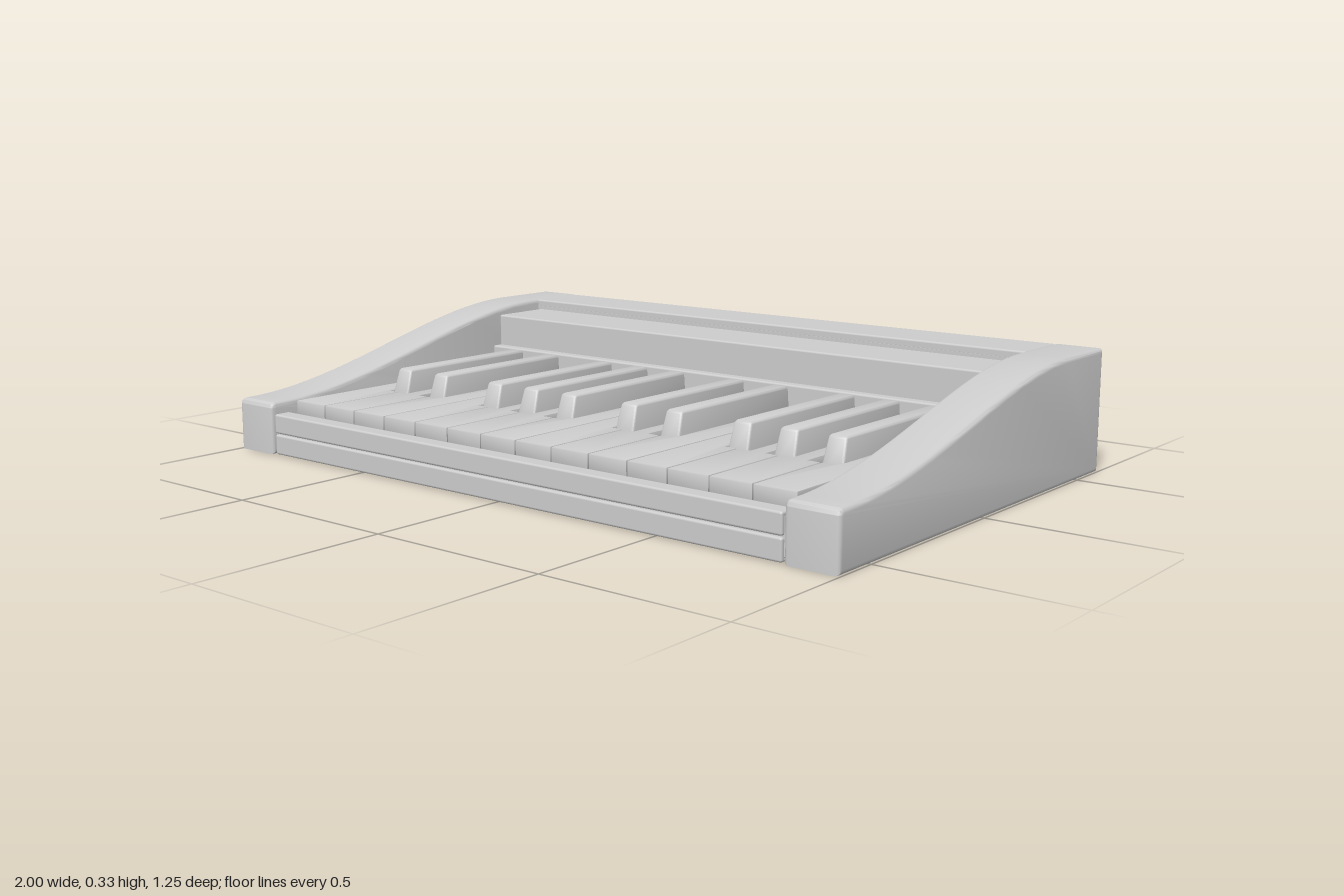
import * as THREE from 'three';
import { toCreasedNormals } from 'three/addons/utils/BufferGeometryUtils.js';
import { RoundedBoxGeometry } from 'three/addons/geometries/RoundedBoxGeometry.js';

const grey = new THREE.MeshStandardMaterial({ color: 0xcccccc });
grey.name = 'light grey';

function add(parent, name, geometry) {
  const mesh = new THREE.Mesh(geometry, grey);
  mesh.name = name;
  parent.add(mesh);
  return mesh;
}

// Rounded box given by its limits on each axis
function slab(parent, name, [x0, x1], [y0, y1], [z0, z1], r = 0.006) {
  const g = new RoundedBoxGeometry(x1 - x0, y1 - y0, z1 - z0, 2, r);
  g.translate((x0 + x1) / 2, (y0 + y1) / 2, (z0 + z1) / 2);
  return add(parent, name, g);
}

// Side cheek: swept profile in (z, y), extruded across x with soft edges
function cheekGeometry(xInner, xOuter) {
  const b = 0.012, r = 0.02;
  const s = new THREE.Shape();
  s.moveTo(-0.625, 0);
  s.lineTo(0.625, 0);
  s.lineTo(0.625, 0.145 - r);
  s.quadraticCurveTo(0.625, 0.145, 0.625 - r, 0.145);
  s.bezierCurveTo(0.25, 0.145, -0.1, 0.33, -0.42, 0.33);
  s.lineTo(-0.625, 0.33);
  s.closePath();
  const g = new THREE.ExtrudeGeometry(s, {
    depth: xOuter - xInner - 2 * b, curveSegments: 24,
    bevelThickness: b, bevelSize: b, bevelOffset: -b, bevelSegments: 3,
  });
  g.rotateY(-Math.PI / 2);
  g.translate(xOuter - b, 0, 0);
  return toCreasedNormals(g, 0.6);
}

// White key: plan outline in (x, z) with notches beside the black keys
function whiteKeyGeometry(x0, x1, notchLeft, notchRight) {
  const b = 0.004, back = -0.222, front = 0.55, notchZ = 0.28, n = 0.035;
  const l = x0 + (notchLeft ? n : 0), r = x1 - (notchRight ? n : 0);
  const pts = [[l, back], [r, back]];
  if (notchRight) pts.push([r, notchZ], [x1, notchZ]);
  pts.push([x1, front], [x0, front]);
  if (notchLeft) pts.push([x0, notchZ], [l, notchZ]);
  const s = new THREE.Shape(pts.map(([x, z]) => new THREE.Vector2(x, z)));
  const g = new THREE.ExtrudeGeometry(s, {
    depth: 0.045 - 2 * b, bevelThickness: b, bevelSize: b, bevelOffset: -b, bevelSegments: 2,
  });
  g.rotateX(Math.PI / 2);
  g.translate(0, 0.145 - b, 0);
  return toCreasedNormals(g, 0.6);
}

// Black key: rounded bar that narrows upward, with a sloping front
function blackKeyGeometry() {
  const h = 0.1, len = 0.492;
  const g = new RoundedBoxGeometry(0.066, h, len, 2, 0.007);
  const p = g.attributes.position;
  for (let i = 0; i < p.count; i++) {
    const t = Math.max(0, p.getY(i) / h);
    p.setX(i, p.getX(i) * (1 - 0.5 * t));
    if (p.getZ(i) > 0) p.setZ(i, p.getZ(i) - 0.06 * t);
  }
  g.translate(0, 0.155, 0.024);
  g.deleteAttribute('normal');
  g.computeVertexNormals();
  return toCreasedNormals(g, 0.6);
}

export function createModel() {
  const model = new THREE.Group();
  model.name = 'keyboard';

  // Side cheeks
  add(model, 'leftCheek', cheekGeometry(0.858, 1));
  add(model, 'rightCheek', cheekGeometry(-1, -0.858));

  // Case between the cheeks
  const W = [-0.852, 0.852], full = [-0.865, 0.865];
  slab(model, 'basePlate', full, [0.004, 0.022], [-0.62, 0.61], 0.004);
  slab(model, 'frontRailLower', W, [0.002, 0.058], [0.572, 0.622]);
  slab(model, 'frontRailUpper', W, [0.061, 0.115], [0.572, 0.622]);
  slab(model, 'frontRailCore', full, [0.012, 0.105], [0.552, 0.612], 0.003);
  slab(model, 'topBeam', full, [0.305, 0.33], [-0.625, -0.45]);
  slab(model, 'controlPanel', W, [0.02, 0.3], [-0.4, -0.265]);
  slab(model, 'panelLedge', W, [0.28, 0.3], [-0.462, -0.38]);
  slab(model, 'beamJoint', full, [0.29, 0.312], [-0.47, -0.45], 0.003);
  slab(model, 'keyRail', [-0.845, 0.845], [0.02, 0.208], [-0.262, -0.227]);

  // Two octaves of keys
  const keys = new THREE.Group();
  keys.name = 'keys';
  model.add(keys);
  const step = 0.1205, start = -7 * step, gap = 0.002;
  const hasBlackAfter = [true, true, false, true, true, true, false];
  const blackOffset = [-0.012, 0.016, 0, -0.012, 0.004, 0.02, 0];
  const blackGeometry = blackKeyGeometry();
  for (let i = 0; i < 14; i++) {
    const note = i % 7, x = start + i * step;
    add(keys, 'whiteKey', whiteKeyGeometry(
      x + gap, x + step - gap, hasBlackAfter[(note + 6) % 7], hasBlackAfter[note]));
    if (hasBlackAfter[note]) {
      add(keys, 'blackKey', blackGeometry).position.x = x + step + blackOffset[note];
    }
  }
  return model;
}
